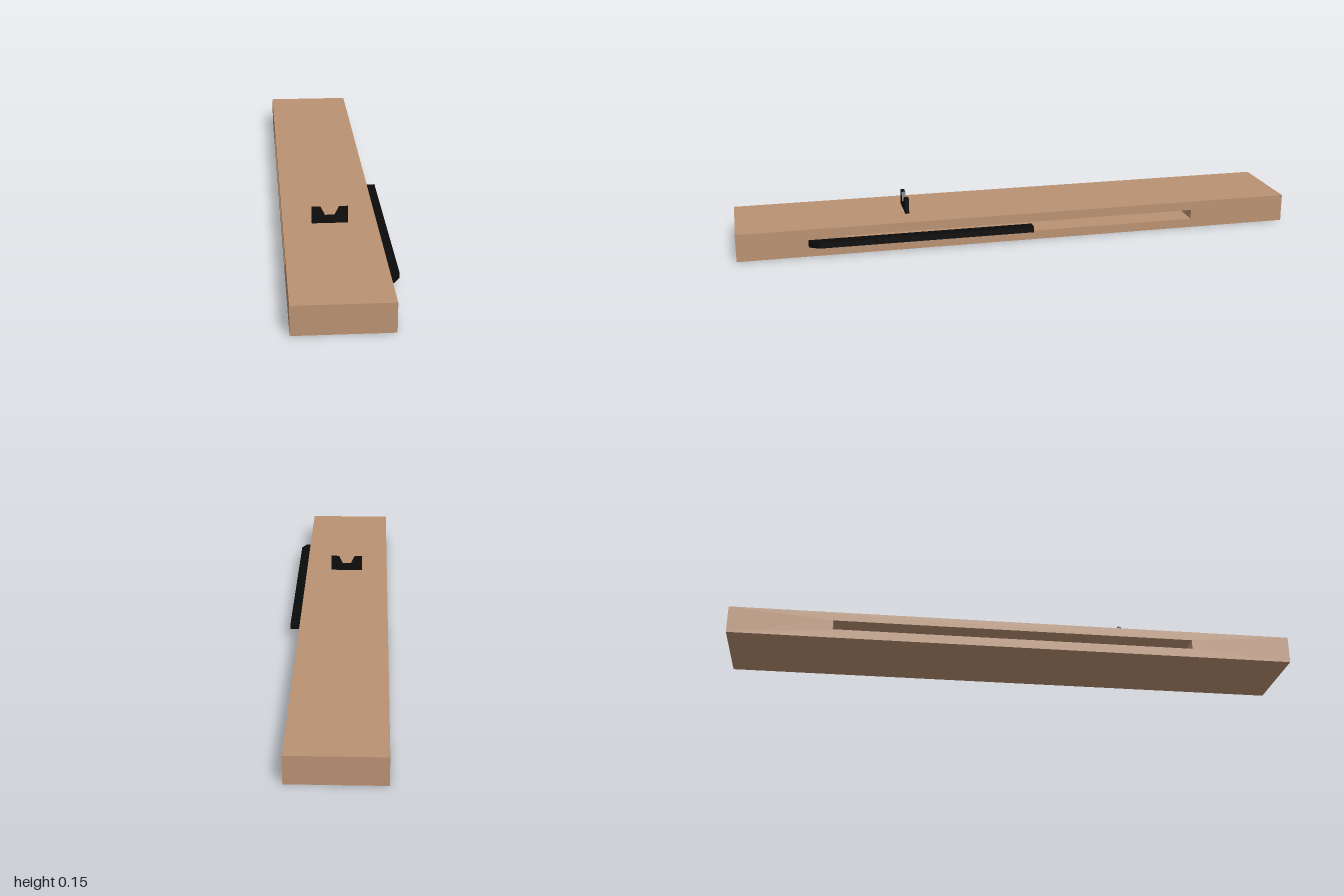
import * as THREE from 'three';

const wood = new THREE.MeshStandardMaterial({ color: 0xba9273 });
wood.name = 'wood';
const black = new THREE.MeshStandardMaterial({ color: 0x0b0b0b });
black.name = 'black';

const outline = (points) => points.map(([x, y]) => new THREE.Vector2(x, y));

// Flat outline pushed out to a given depth
function slab(name, points, depth, material, hole) {
  const shape = new THREE.Shape(outline(points));
  if (hole) shape.holes.push(new THREE.Path(outline(hole)));
  const geometry = new THREE.ExtrudeGeometry(shape, { depth, bevelEnabled: false });
  const mesh = new THREE.Mesh(geometry, material);
  mesh.name = name;
  return mesh;
}

const rect = (x0, y0, x1, y1) => [[x0, y0], [x1, y0], [x1, y1], [x0, y1]];

export function createModel() {
  const model = new THREE.Group();
  model.name = 'slottedBoard';

  // Plank with a long slot running through from side to side
  const board = slab('board', rect(-1, 0, 1, 0.098), 0.316, wood,
    rect(-0.64, 0.032, 0.64, 0.066));
  board.rotation.y = Math.PI / 2;
  board.position.x = -0.178;
  model.add(board);

  // Side rail with a chamfered front end, drawn in plan
  const rail = slab('sideRail',
    [[0.138, 0.035], [0.177, 0.035], [0.177, -0.72], [0.157, -0.755], [0.138, -0.755]],
    0.02, black);
  rail.rotation.x = -Math.PI / 2;
  rail.position.y = 0.04;
  model.add(rail);

  // Thin upright rest with a notch in its top edge
  const rest = slab('notchedRest', [
    [-0.08, 0.098], [0.042, 0.098], [0.042, 0.153], [0.012, 0.152],
    [-0.003, 0.122], [-0.035, 0.122], [-0.05, 0.152], [-0.08, 0.153],
  ], 0.014, black);
  rest.position.z = 0.391;
  model.add(rest);

  return model;
}
